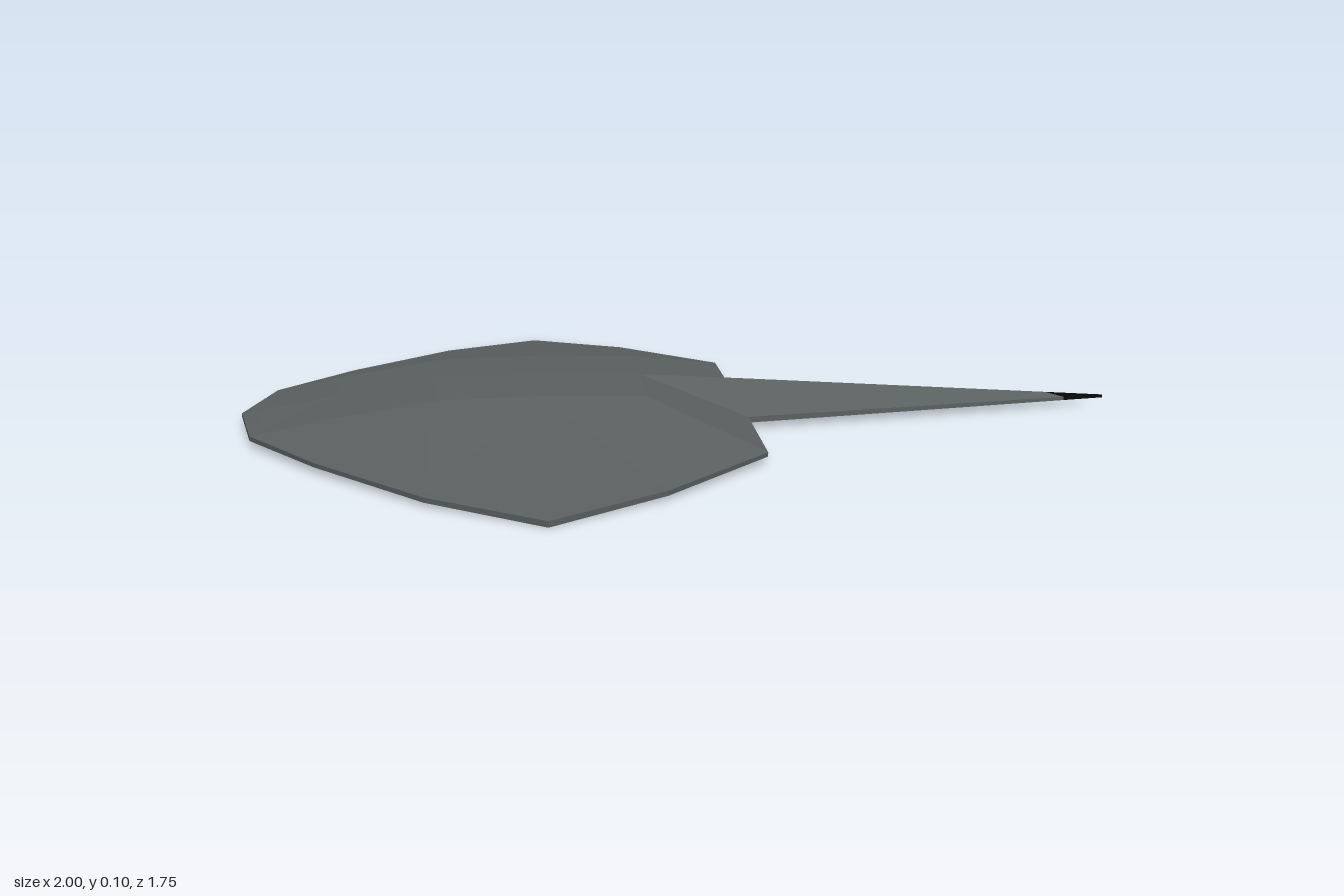
import * as THREE from 'three';

const slate = new THREE.MeshStandardMaterial({ color: 0x5b6060 });
slate.name = 'slate grey';
const black = new THREE.MeshStandardMaterial({ color: 0x050505 });
black.name = 'black';

// Cross-sections along x; each lists points from -z to +z as [x, top y, z, underside y]
const section = (x, half, rim, shoulder, crown, under) => {
  const inner = Math.min(half, 0.225);
  return [
    [x, rim, -half, under],
    [x, shoulder, -inner, Math.min(0.014, rim - 0.006)],
    [x, crown, 0, 0.013],
    [x, shoulder, inner, Math.min(0.014, rim - 0.006)],
    [x, rim, half, under],
  ];
};

const discSections = [
  section(-1.0, 0, 0.022, 0.022, 0.022, 0.014),
  section(-0.95, 0.23, 0.024, 0.024, 0.031, 0.014),
  section(-0.79, 0.46, 0.022, 0.055, 0.057, 0.013),
  section(-0.56, 0.72, 0.018, 0.092, 0.094, 0.008),
  section(-0.33, 0.877, 0.012, 0.097, 0.1, 0.0),
  section(-0.1, 0.72, 0.018, 0.092, 0.094, 0.008),
  [
    [0.13, 0.022, -0.465, 0.013],
    [0.13, 0.026, -0.15, 0.013],
    [0.13, 0.079, -0.003, 0.013],
    [0.13, 0.026, 0.165, 0.013],
    [0.13, 0.022, 0.465, 0.013],
  ],
];

// Tail: three points per section, narrowing to a point
const tailRoot = discSections[6].slice(1, 4);
const tip = [1, 0.021, -0.003, 0.014];
const toTip = (p, x) => {
  const t = (x - p[0]) / (tip[0] - p[0]);
  return p.map((v, k) => v + (tip[k] - v) * t);
};
const stingRoot = tailRoot.map((p, k) => toTip(p, [0.84, 0.86, 0.9][k]));

// Skin a list of sections: top, underside and rim walls
function loft(sections, flip, endEdges = []) {
  const out = [];
  const top = (p) => [p[0], p[1], p[2]];
  const bot = (p) => [p[0], p[3], p[2]];
  const tri = (...pts) => {
    const [a, b, c] = pts.map((p) => new THREE.Vector3(...p));
    if (b.clone().sub(a).cross(c.clone().sub(a)).length() > 1e-9) pts.forEach((p) => out.push(...p));
  };
  const quad = (a, b, c, d, other) => {
    if (other) { tri(a, b, d); tri(b, c, d); } else { tri(a, b, c); tri(a, c, d); }
  };
  const wall = (p, q) => quad(top(p), bot(p), bot(q), top(q));
  const last = sections[0].length - 1;
  for (let i = 0; i < sections.length - 1; i++) {
    const s = sections[i], n = sections[i + 1];
    for (let j = 0; j < last; j++) {
      const f = flip(i, j);
      quad(top(s[j]), top(s[j + 1]), top(n[j + 1]), top(n[j]), f);
      quad(bot(n[j]), bot(n[j + 1]), bot(s[j + 1]), bot(s[j]), !f);
    }
    wall(s[last], n[last]);
    wall(n[0], s[0]);
  }
  // Trailing edges of the last section
  const end = sections[sections.length - 1];
  endEdges.forEach((j) => wall(end[j + 1], end[j]));
  const g = new THREE.BufferGeometry();
  g.setAttribute('position', new THREE.Float32BufferAttribute(out, 3));
  g.computeVertexNormals();
  return g;
}

export function createModel() {
  const model = new THREE.Group();
  model.name = 'ray';
  const add = (name, geometry, material) => {
    const mesh = new THREE.Mesh(geometry, material);
    mesh.name = name;
    model.add(mesh);
  };

  // Broad flat body with wings
  add('bodyDisc', loft(discSections, (i, j) => (j < 2) !== (i < 4), [0, 3]), slate);
  // Ridged tapering tail and its dark sting
  add('tail', loft([tailRoot, stingRoot], (i, j) => j < 1), slate);
  add('sting', loft([stingRoot, [tip, tip, tip]], () => false), black);

  return model;
}
